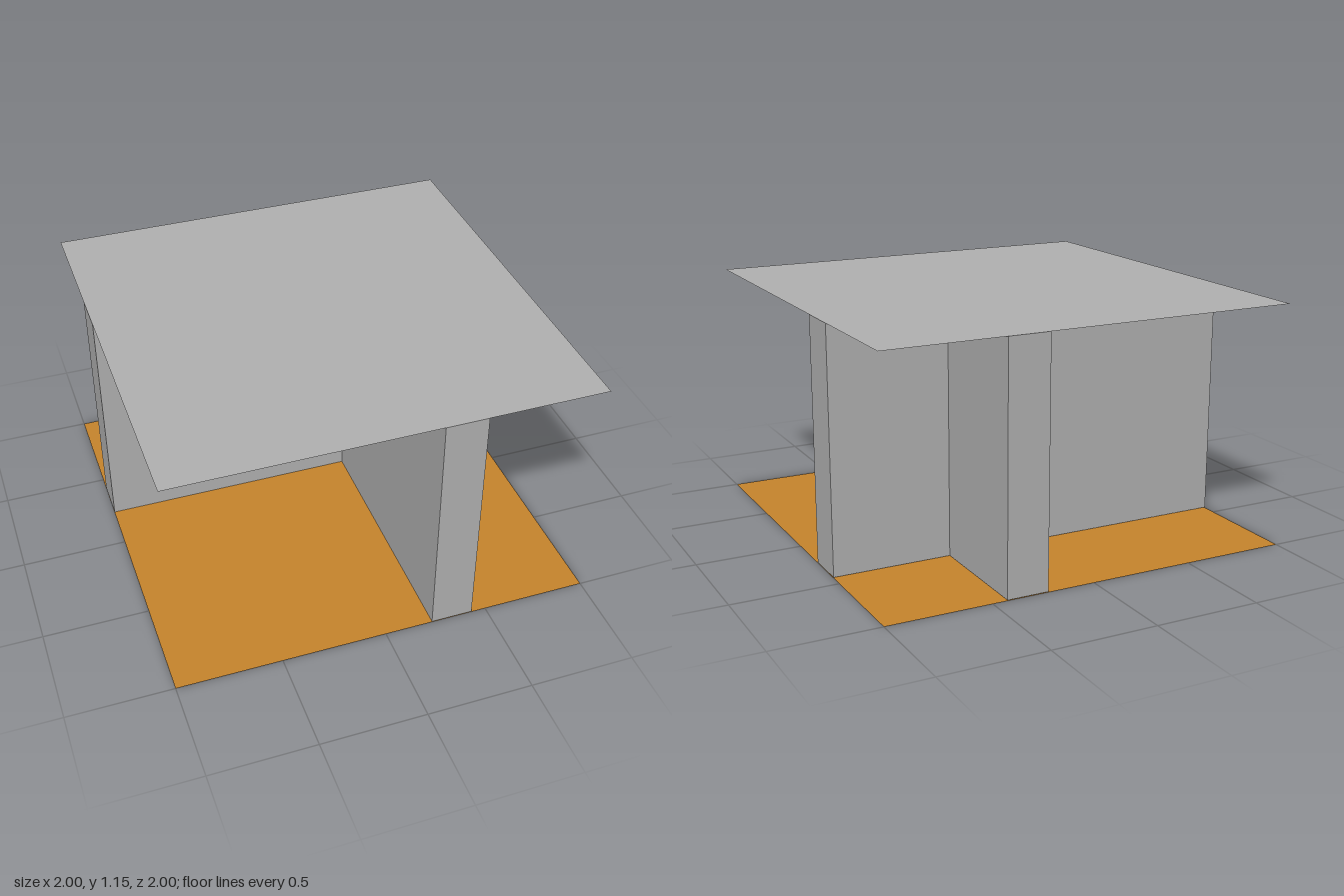
import * as THREE from 'three';

const HEIGHT = 1.155; // floor to ceiling
const A = 0.23, B = 0.43; // sides of the crossing walls

export function createModel() {
  const model = new THREE.Group();
  model.name = 'crossWallRoom';
  const grey = new THREE.MeshStandardMaterial({ color: 0xb2b2b2, side: THREE.DoubleSide });
  grey.name = 'plasterGrey';
  const orange = new THREE.MeshStandardMaterial({ color: 0xc8852c, side: THREE.DoubleSide });
  orange.name = 'floorOrange';

  // Horizontal sheet spanning x0..x1 and z0..z1
  const sheet = (name, material, x0, x1, z0, z1, y) => {
    const geometry = new THREE.PlaneGeometry(x1 - x0, z1 - z0).rotateX(-Math.PI / 2);
    const mesh = new THREE.Mesh(geometry, material);
    mesh.name = name;
    mesh.position.set((x0 + x1) / 2, y, (z0 + z1) / 2);
    model.add(mesh);
  };

  // Floor
  sheet('floor', orange, -1, 1, -1, 1, 0);

  // Ceiling: one panel in each quarter between the walls
  for (const [xName, x0, x1] of [['Right', -1, A], ['Left', B, 1]]) {
    for (const [zName, z0, z1] of [['back', -1, -B], ['front', -A, 1]]) {
      sheet(`${zName}${xName}Ceiling`, grey, x0, x1, z0, z1, HEIGHT);
    }
  }

  // Crossing walls, drawn as a plan (plan y is -z) and raised to the ceiling
  const plan = new THREE.Shape([
    [A, -1], [B, -1], [B, A], [1, A], [1, B], [B, B],
    [B, 1], [A, 1], [A, B], [-1, B], [-1, A], [A, A],
  ].map(([x, y]) => new THREE.Vector2(x, y)));
  const lift = 0.003; // keeps the underside clear of the floor sheet
  const wallGeometry = new THREE.ExtrudeGeometry(plan, { depth: HEIGHT - lift, bevelEnabled: false });
  wallGeometry.rotateX(-Math.PI / 2).translate(0, lift, 0);
  const walls = new THREE.Mesh(wallGeometry, grey);
  walls.name = 'crossWalls';
  model.add(walls);

  return model;
}
